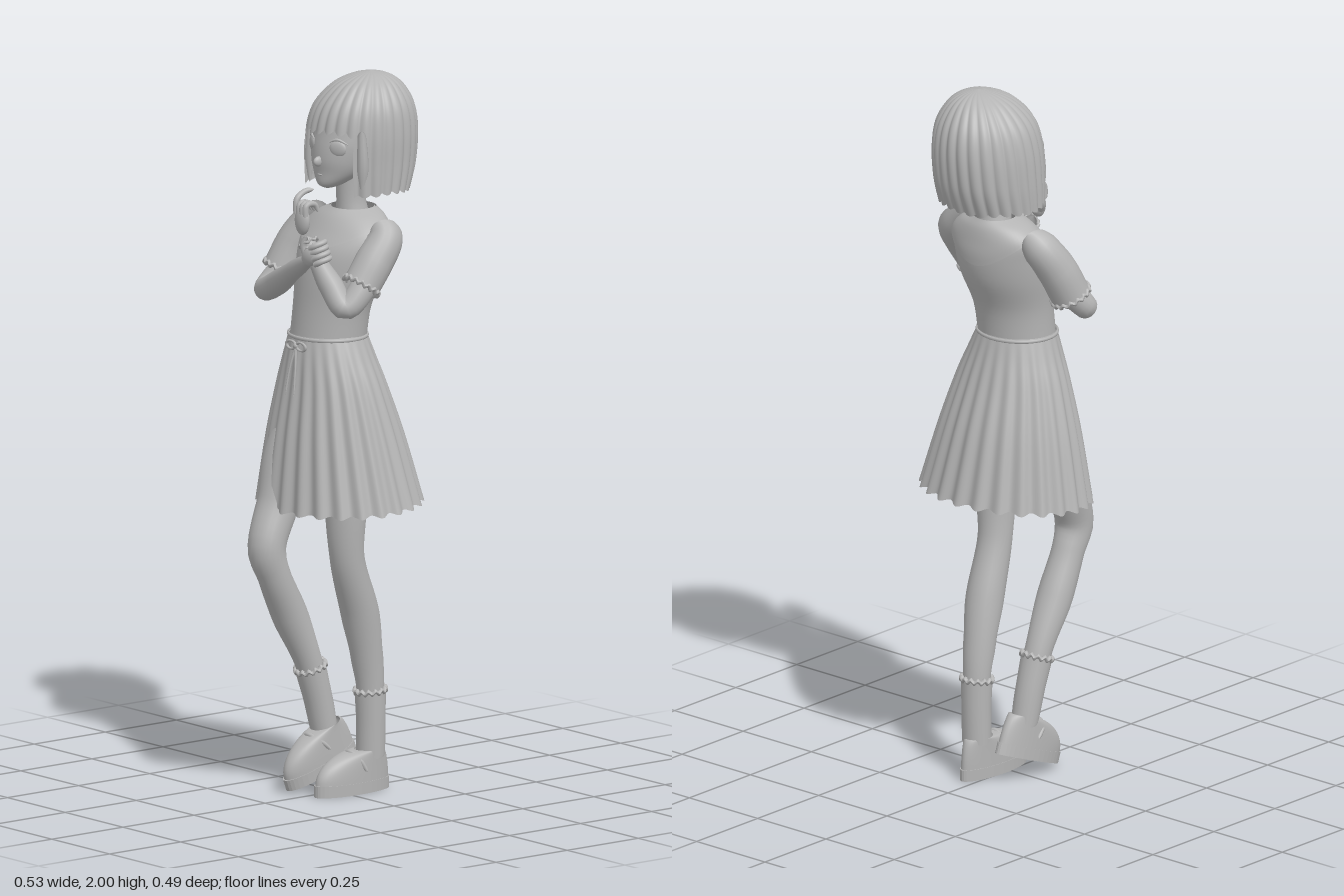
import * as THREE from 'three';

const grey = new THREE.MeshStandardMaterial({ color: 0xb4b4b4, side: THREE.DoubleSide });
grey.name = 'plain grey';

export function createModel() {
  const model = new THREE.Group();
  const add = (name, geometry, parent = model) => {
    const m = new THREE.Mesh(geometry, grey);
    m.name = name;
    parent.add(m);
    return m;
  };
  const V = (x, y, z) => new THREE.Vector3(x, y, z);

  // Smooth surface from f(u, v); u runs round (optionally closed), v runs up
  function surface(f, nu, nv, closed = true) {
    const pos = [], idx = [], cols = closed ? nu : nu + 1;
    for (let j = 0; j <= nv; j++)
      for (let i = 0; i < cols; i++) pos.push(...f(i / nu, j / nv));
    for (let j = 0; j < nv; j++)
      for (let i = 0; i < nu; i++) {
        const a = j * cols + i, b = j * cols + (i + 1) % cols;
        idx.push(a, b, b + cols, a, b + cols, a + cols);
      }
    const g = new THREE.BufferGeometry();
    g.setAttribute('position', new THREE.Float32BufferAttribute(pos, 3));
    g.setIndex(idx);
    g.computeVertexNormals();
    return g;
  }

  // Catmull-Rom blend of [y, cx, cz, rx, rz] sections at index t
  function section(list, t) {
    const n = list.length - 1, i = Math.min(Math.floor(t), n - 1), s = t - i;
    const [a, b, c, d] = [-1, 0, 1, 2].map(k => list[Math.min(n, Math.max(0, i + k))]);
    return b.map((_, k) => b[k] + 0.5 * s * (c[k] - a[k] + s * (2 * a[k] - 5 * b[k] + 4 * c[k] - d[k]
      + s * (3 * (b[k] - c[k]) + d[k] - a[k]))));
  }
  const ringPoint = (list, t, ang, grow = 0, ridge = 1) => {
    const [y, cx, cz, rx, rz] = section(list, t);
    return [cx + (rx * ridge + grow) * Math.sin(ang), y, cz + (rz * ridge + grow) * Math.cos(ang)];
  };
  const loft = (list, nu, nv) =>
    surface((u, v) => ringPoint(list, v * (list.length - 1), u * Math.PI * 2), nu, nv);

  // Tube of varying radius through [x, y, z, r] points, with rounded ends
  function limb(pts, { seg = 28, sides = 18, start = true, end = true } = {}) {
    const curve = new THREE.CatmullRomCurve3(pts.map(p => V(p[0], p[1], p[2])));
    const g = new THREE.TubeGeometry(curve, seg, 1, sides), p = g.attributes.position;
    const round = [0, 0.72, 0.93], v = V(0, 0, 0);
    for (let i = 0; i <= seg; i++) {
      const t = curve.getUtoTmapping(i / seg) * (pts.length - 1);
      const k = Math.min(Math.floor(t), pts.length - 2), c = curve.getPointAt(i / seg);
      let r = THREE.MathUtils.lerp(pts[k][3], pts[k + 1][3], THREE.MathUtils.smoothstep(t - k, 0, 1));
      if (start) r *= round[i] ?? 1;
      if (end) r *= round[seg - i] ?? 1;
      for (let j = 0; j <= sides; j++) {
        const n = i * (sides + 1) + j;
        v.fromBufferAttribute(p, n).sub(c).multiplyScalar(r).add(c);
        p.setXYZ(n, v.x, v.y, v.z);
      }
    }
    return g;
  }
  // Wavy ring lying across a direction
  function frill(name, at, dir, r, tube, waves = 0) {
    const g = new THREE.TorusGeometry(r, tube, 8, 72), p = g.attributes.position;
    for (let i = 0; i < p.count; i++) {
      const a = Math.atan2(p.getY(i), p.getX(i));
      p.setZ(i, p.getZ(i) + tube * 0.6 * Math.sin(a * waves));
    }
    g.computeVertexNormals();
    const m = add(name, g);
    m.position.set(...at);
    m.quaternion.setFromUnitVectors(V(0, 0, 1), V(...dir).normalize());
  }
  const ball = (name, x, y, z, sx, sy, sz) => {
    const m = add(name, new THREE.SphereGeometry(1, 24, 16));
    m.position.set(x, y, z);
    m.scale.set(sx, sy, sz);
    return m;
  };

  // Head and face
  add('head', loft([[1.688, 0, 0.03, 0.004, 0.004], [1.7, 0, 0.02, 0.035, 0.036], [1.735, 0, -0.012, 0.075, 0.07],
    [1.775, 0, -0.042, 0.1, 0.102], [1.83, 0, -0.07, 0.117, 0.12], [1.9, 0, -0.09, 0.11, 0.115],
    [1.96, 0, -0.1, 0.05, 0.05]], 40, 30));
  ball('nose', 0, 1.766, 0.062, 0.009, 0.014, 0.017);
  ball('mouth', 0, 1.728, 0.052, 0.014, 0.004, 0.008);
  for (const s of [-1, 1]) {
    const eye = ball('eye', s * 0.054, 1.806, 0.038, 0.025, 0.022, 0.008);
    eye.rotation.y = s * 0.45;
    add('eyelash', limb([[s * 0.03, 1.822, 0.053, 0.002], [s * 0.056, 1.832, 0.042, 0.004],
      [s * 0.082, 1.818, 0.022, 0.002]], { seg: 12, sides: 8 }));
  }
  add('neck', loft([[1.59, 0, -0.06, 0.05, 0.05], [1.65, 0, -0.052, 0.038, 0.042], [1.74, 0, -0.05, 0.042, 0.045]], 24, 10));

  // Bob hair: ridged locks fanning from the crown, short fringe in front
  const hair = [[1.675, -0.01, -0.083, 0.15, 0.132], [1.75, -0.009, -0.091, 0.15, 0.149], [1.84, -0.005, -0.095, 0.146, 0.152],
    [1.91, 0, -0.098, 0.13, 0.136], [1.963, 0.007, -0.103, 0.092, 0.097], [1.99, 0.013, -0.108, 0.048, 0.05],
    [2, 0.015, -0.11, 0.001, 0.001]];
  const locks = 26;
  const hairPart = (from, to, hem, scale, nu) => surface((u, v) => {
    const a = THREE.MathUtils.lerp(from, to, u), wave = Math.abs(Math.cos(a * locks / 2));
    const t0 = hem + 0.16 * (1 - wave) + 0.06 * Math.sin(a * 5);
    return ringPoint(hair, t0 + (6 - t0) * v, a, 0, scale * (0.975 + 0.05 * wave));
  }, nu, 34, false);
  const open = 0.76;
  add('bobHair', hairPart(open, Math.PI * 2 - open, 0, 1, 180));
  add('hairLining', hairPart(open + 0.05, Math.PI * 2 - open - 0.05, 0.2, 0.91, 120));
  add('fringe', hairPart(-open - 0.04, open + 0.04, 2, 1.005, 60));
  for (const s of [-1, 1]) // side locks framing the face
    add('sideLock', limb([[s * 0.11, 1.86, 0.0, 0.012], [s * 0.115, 1.76, 0.0, 0.016], [s * 0.112 - 0.008, 1.68, -0.005, 0.004]], { sides: 10 }));

  // Bodice, collar and hips
  const torso = [[1.27, -0.015, 0.016, 0.112, 0.1], [1.36, -0.01, 0.006, 0.117, 0.1], [1.45, -0.003, -0.015, 0.135, 0.112],
    [1.52, 0, -0.028, 0.144, 0.11], [1.57, 0, -0.042, 0.142, 0.092], [1.607, 0, -0.052, 0.105, 0.075],
    [1.628, 0, -0.058, 0.06, 0.058]];
  add('bodice', loft(torso, 48, 30));
  add('collar', surface((u, v) => {
    const a = u * Math.PI * 2, w = Math.abs(Math.cos(a));
    const t0 = 4.4 - (Math.cos(a) < 0 ? 1.7 : 1.3) * w * w;
    return ringPoint(torso, t0 + (6 - t0) * v, a, 0.006);
  }, 64, 14));
  add('hips', loft([[0.98, 0, 0.02, 0.02, 0.04], [1.04, -0.005, 0.015, 0.11, 0.085], [1.14, -0.01, 0.01, 0.13, 0.1],
    [1.27, -0.015, 0.016, 0.1, 0.09]], 32, 14));

  // Pleated skirt with waistband and bow
  const skirt = [[1.285, -0.015, 0.017, 0.113, 0.102], [1.22, -0.012, 0.014, 0.138, 0.117], [1.14, -0.01, 0.008, 0.168, 0.135],
    [1, -0.008, -0.003, 0.209, 0.167], [0.815, -0.003, -0.015, 0.255, 0.2]];
  add('skirt', surface((u, v) => {
    const a = u * Math.PI * 2, d = 1 - v;
    const p = ringPoint(skirt, d * 4, a, 0.0075 * d * Math.cos(a * 24));
    p[1] -= d * (0.013 * Math.cos(a) + 0.004 * Math.cos(a * 24));
    return p;
  }, 240, 26));
  const band = add('waistband', new THREE.TorusGeometry(1, 0.035, 8, 60));
  band.rotation.x = Math.PI / 2;
  band.scale.set(0.115, 0.104, 0.15);
  band.position.set(-0.015, 1.278, 0.017);
  for (const s of [-1, 1]) {
    const loop = add('bowLoop', new THREE.TorusGeometry(0.014, 0.004, 8, 24));
    loop.position.set(-0.018 + s * 0.021, 1.257, 0.127);
    loop.scale.set(1.4, 0.8, 1);
    add('bowTail', limb([[-0.018, 1.257, 0.127, 0.004], [-0.018 + s * 0.011, 1.2, 0.138, 0.003],
      [-0.018 + s * 0.018, 1.12, 0.15, 0.003]], { seg: 14, sides: 8 }));
  }
  ball('bowKnot', -0.018, 1.257, 0.129, 0.008, 0.008, 0.006);

  // Legs and socks: right knee bent forward, left leg bearing the weight
  add('rightLeg', limb([[-0.06, 1.12, 0.02, 0.078], [-0.083, 0.95, 0.095, 0.07], [-0.084, 0.81, 0.137, 0.058],
    [-0.075, 0.69, 0.183, 0.053], [-0.074, 0.61, 0.158, 0.046], [-0.077, 0.5, 0.104, 0.05], [-0.074, 0.34, 0.032, 0.038],
    [-0.068, 0.15, -0.015, 0.03]], { seg: 48, sides: 24 }));
  add('leftLeg', limb([[0.06, 1.12, 0.0, 0.082], [0.066, 0.95, 0.02, 0.068], [0.068, 0.81, 0.022, 0.057],
    [0.06, 0.66, 0.01, 0.048], [0.05, 0.5, -0.043, 0.053], [0.043, 0.38, -0.072, 0.045], [0.04, 0.28, -0.087, 0.038],
    [0.037, 0.1, -0.09, 0.03]], { seg: 48, sides: 24 }));
  add('rightSock', limb([[-0.074, 0.342, 0.032, 0.043], [-0.071, 0.24, 0.004, 0.04], [-0.068, 0.14, -0.017, 0.037]], { start: false }));
  add('leftSock', limb([[0.04, 0.28, -0.087, 0.043], [0.039, 0.19, -0.09, 0.041], [0.037, 0.08, -0.09, 0.04]], { start: false }));
  frill('rightSockFrill', [-0.074, 0.34, 0.031], [0, 1, 0.35], 0.042, 0.007, 14);
  frill('leftSockFrill', [0.04, 0.279, -0.087], [0, 1, 0.1], 0.042, 0.007, 14);

  // Shoes: thick sole, rounded upper, strap
  function shoe(name) {
    const g = new THREE.Group();
    g.name = name;
    const edge = a => [0.043 * Math.sin(a) * (1 + 0.08 * Math.cos(a)), 0.1275 * Math.cos(a)];
    const outline = new THREE.Shape(Array.from({ length: 40 }, (_, i) => {
      const [x, z] = edge(i / 40 * Math.PI * 2);
      return new THREE.Vector2(x, -z);
    }));
    add('sole', new THREE.ExtrudeGeometry(outline, { depth: 0.032, bevelEnabled: false }), g).rotation.x = -Math.PI / 2;
    add('upper', surface((u, v) => {
      const a = u * Math.PI * 2, q = v * Math.PI / 2, k = 1 - Math.cos(q), [x, z] = edge(a);
      return [THREE.MathUtils.lerp(x * 0.97, 0.036 * Math.sin(a), k), 0.03 + 0.085 * Math.sin(q),
        THREE.MathUtils.lerp(z * 0.97, -0.058 + 0.042 * Math.cos(a), k)];
    }, 40, 14), g);
    add('strap', limb([[-0.043, 0.06, -0.02, 0.006], [-0.03, 0.098, 0.0, 0.007], [0, 0.112, 0.008, 0.007],
      [0.03, 0.098, 0.0, 0.007], [0.043, 0.06, -0.02, 0.006]], { sides: 8 }), g);
    model.add(g);
    return g;
  }
  shoe('leftShoe').position.set(0.034, 0, -0.0275);
  const rightShoe = shoe('rightShoe');
  rightShoe.position.set(-0.063, 0.05, 0);
  rightShoe.rotation.x = 0.35;

  // Arms and sleeves
  add('rightArm', limb([[-0.15, 1.55, -0.05, 0.04], [-0.205, 1.44, 0.01, 0.037], [-0.222, 1.378, 0.066, 0.033],
    [-0.13, 1.412, 0.098, 0.034], [-0.03, 1.467, 0.122, 0.026], [0.05, 1.51, 0.135, 0.019]], { seg: 44 }));
  add('leftArm', limb([[0.145, 1.55, -0.05, 0.04], [0.158, 1.44, 0.03, 0.037], [0.142, 1.383, 0.084, 0.033],
    [0.1, 1.44, 0.1, 0.034], [0.055, 1.51, 0.115, 0.025], [0.02, 1.57, 0.125, 0.018]], { seg: 44 }));
  add('rightSleeve', limb([[-0.12, 1.597, -0.058, 0.035], [-0.165, 1.56, -0.05, 0.052], [-0.195, 1.5, -0.02, 0.056],
    [-0.213, 1.425, 0.014, 0.056]], { end: false }));
  add('leftSleeve', limb([[0.115, 1.597, -0.058, 0.035], [0.148, 1.56, -0.05, 0.05], [0.156, 1.5, -0.005, 0.053],
    [0.152, 1.44, 0.035, 0.052]], { end: false }));
  frill('rightSleeveFrill', [-0.213, 1.425, 0.014], [-0.2, -0.9, 0.4], 0.054, 0.007, 16);
  frill('leftSleeveFrill', [0.152, 1.44, 0.035], [-0.05, -0.82, 0.57], 0.051, 0.007, 16);
  for (const k of [0, 1, 2])
    frill('bracelet', [0.05 - k * 0.009, 1.525 + k * 0.014, 0.117 + k * 0.003], [-0.5, 0.82, 0.15], 0.026, 0.0045, 8);

  // Left hand raised to the chin, index finger reaching the lips
  ball('leftPalm', 0.006, 1.61, 0.124, 0.027, 0.04, 0.016);
  for (let i = 0; i < 4; i++) {
    const x = -0.014 + i * 0.0135, d = i === 0 ? 0.03 : 0;
    add('leftFinger', limb([[x, 1.62, 0.13, 0.009], [x, 1.655 + d * 0.4, 0.126, 0.009],
      [x, 1.655 + d, 0.098, 0.008], [x + d * 0.3, 1.632 + d * 1.9, 0.085 - d * 0.4, 0.006]], { seg: 16, sides: 10 }));
  }
  add('leftThumb', limb([[-0.008, 1.59, 0.12, 0.011], [-0.024, 1.62, 0.108, 0.009], [-0.02, 1.65, 0.09, 0.007]], { seg: 14, sides: 10 }));

  // Right hand clasping the left wrist
  ball('rightPalm', 0.062, 1.52, 0.142, 0.034, 0.025, 0.015).rotation.z = 0.45;
  for (let i = 0; i < 4; i++) {
    const x = 0.062 + i * 0.007, y = 1.55 - i * 0.014;
    add('rightFinger', limb([[x, y - 0.008, 0.148, 0.009], [x + 0.022, y + 0.004, 0.142, 0.008],
      [x + 0.03, y + 0.012, 0.12, 0.008], [x + 0.018, y + 0.014, 0.1, 0.006]], { seg: 16, sides: 10 }));
  }
  add('rightThumb', limb([[0.04, 1.52, 0.14, 0.01], [0.036, 1.55, 0.145, 0.009], [0.045, 1.575, 0.14, 0.007]], { seg: 14, sides: 10 }));

  return model;
}
